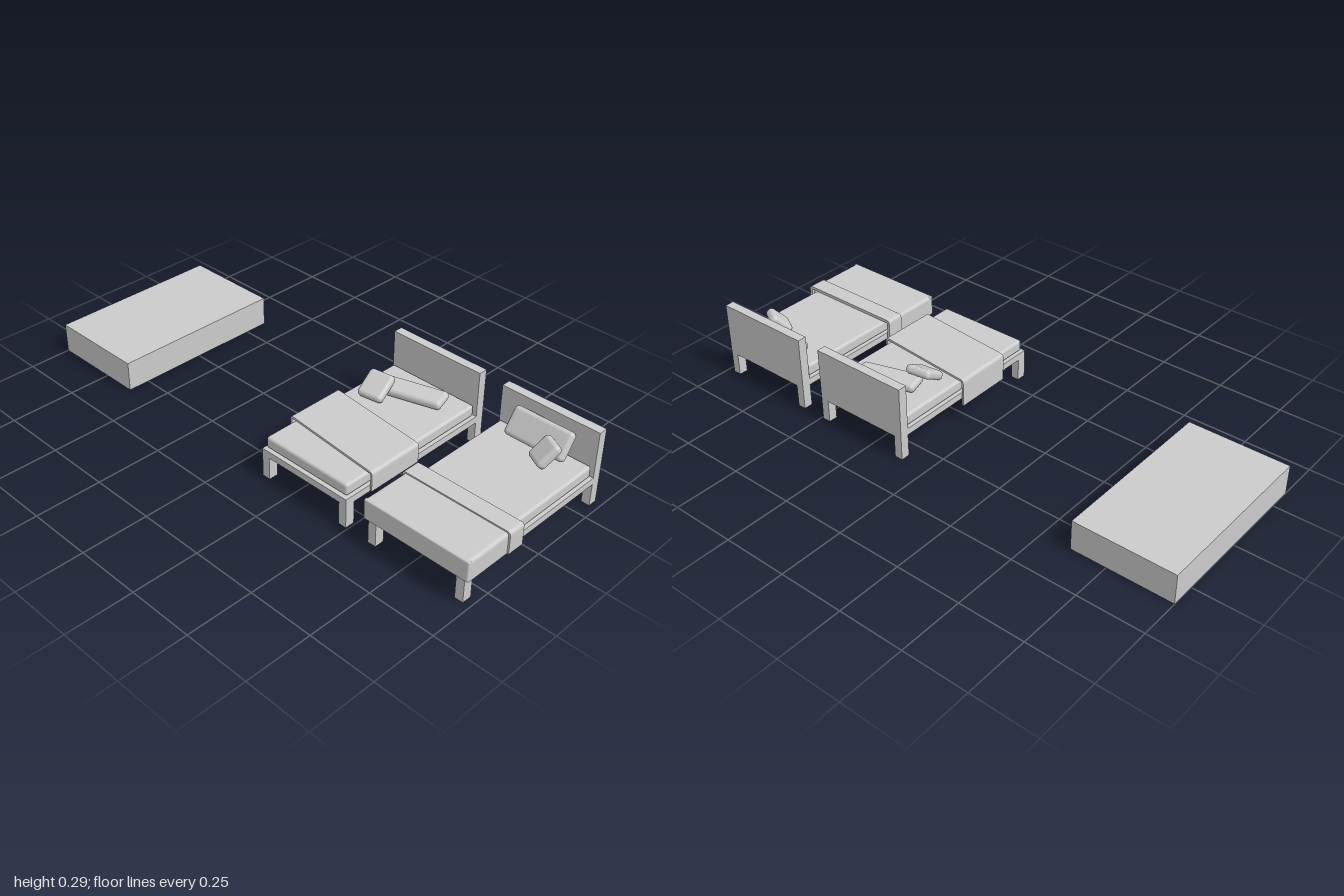
import * as THREE from 'three';
import { RoundedBoxGeometry } from 'three/addons/geometries/RoundedBoxGeometry.js';

const material = new THREE.MeshStandardMaterial({ color: 0xcccccc });

function add(parent, name, geometry, x = 0, y = 0, z = 0) {
  const mesh = new THREE.Mesh(geometry, material);
  mesh.name = name;
  mesh.position.set(x, y, z);
  parent.add(mesh);
  return mesh;
}

// Box given by its lower and upper bounds on each axis
function block(parent, name, [x0, x1], [y0, y1], [z0, z1], radius = 0) {
  const size = [x1 - x0, y1 - y0, z1 - z0];
  const geometry = radius ? new RoundedBoxGeometry(...size, 3, radius) : new THREE.BoxGeometry(...size);
  return add(parent, name, geometry, (x0 + x1) / 2, (y0 + y1) / 2, (z0 + z1) / 2);
}

// Cloth draped across the bed: a thin upside-down U swept along z, optionally skewed
function drape(parent, name, { half, top, left, right, z0, z1, skew = 0, thick = 0.008 }) {
  const r = 0.014, ri = r - thick, hi = half - thick, ti = top - thick;
  const s = new THREE.Shape();
  s.moveTo(-half, right);
  s.lineTo(-half, top - r);
  s.quadraticCurveTo(-half, top, -half + r, top);
  s.lineTo(half - r, top);
  s.quadraticCurveTo(half, top, half, top - r);
  s.lineTo(half, left);
  s.lineTo(hi, left);
  s.lineTo(hi, ti - ri);
  s.quadraticCurveTo(hi, ti, hi - ri, ti);
  s.lineTo(-hi + ri, ti);
  s.quadraticCurveTo(-hi, ti, -hi, ti - ri);
  s.lineTo(-hi, right);
  s.closePath();
  const geometry = new THREE.ExtrudeGeometry(s, { depth: z1 - z0, bevelEnabled: false, curveSegments: 5 });
  const p = geometry.attributes.position;
  for (let i = 0; i < p.count; i++) p.setZ(i, p.getZ(i) + z0 + skew * p.getX(i));
  geometry.computeVertexNormals();
  return add(parent, name, geometry);
}

function pillow(parent, name, size, position, tilt, yaw) {
  const mesh = add(parent, name, new RoundedBoxGeometry(...size, 4, 0.015), ...position);
  mesh.rotation.set(tilt, yaw, 0, 'YXZ');
}

// Bed frame, headboard, legs and mattress, centred on its own x = 0
function makeBed(name, x) {
  const bed = new THREE.Group();
  bed.name = name;
  bed.position.x = x;
  const w = 0.1925;
  block(bed, 'frame', [-w, w], [0.087, 0.113], [-0.308, 0.335]);
  block(bed, 'headboard', [-w, w], [0.087, 0.29], [-0.343, -0.308]);
  for (const s of [-1, 1]) {
    const legX = s < 0 ? [-w, -w + 0.032] : [w - 0.032, w];
    block(bed, 'frontLeg', legX, [0, 0.087], [0.298, 0.335]);
    block(bed, 'backLeg', legX, [0, 0.087], [-0.343, -0.308]);
  }
  block(bed, 'mattress', [-0.184, 0.184], [0.115, 0.16], [-0.302, 0.325], 0.01);
  return bed;
}

export function createModel() {
  const model = new THREE.Group();
  model.name = 'bedroomSet';

  // Plain low block standing apart from the beds
  block(model, 'plainBlock', [-1, -0.613], [0, 0.115], [-0.343, 0.335]);

  // Bed with a skewed throw and pillows lying down
  const throwBed = makeBed('throwBed', 0.2995);
  drape(throwBed, 'throwBlanket', {
    half: 0.205, top: 0.17, left: 0.095, right: 0.063, z0: -0.012, z1: 0.212, skew: 0.093,
  });
  pillow(throwBed, 'largePillow', [0.235, 0.034, 0.09], [0.005, 0.18, -0.19], 0, 0.29);
  pillow(throwBed, 'smallPillow', [0.1, 0.034, 0.108], [-0.092, 0.2, -0.108], 0.54, 0.14);
  model.add(throwBed);

  // Bed with a tucked blanket, folded top edge and pillows propped up
  const blanketBed = makeBed('blanketBed', 0.7805);
  drape(blanketBed, 'blanket', { half: 0.208, top: 0.17, left: 0.092, right: 0.092, z0: 0.1, z1: 0.337 });
  block(blanketBed, 'blanketFront', [-0.208, 0.208], [0.092, 0.17], [0.329, 0.343], 0.005);
  drape(blanketBed, 'blanketFold', {
    half: 0.2145, top: 0.175, left: 0.092, right: 0.092, z0: 0.09, z1: 0.157, thick: 0.012,
  });
  pillow(blanketBed, 'largePillow', [0.235, 0.034, 0.105], [0, 0.213, -0.265], 0.95, 0);
  pillow(blanketBed, 'smallPillow', [0.085, 0.036, 0.095], [0.068, 0.207, -0.203], 0.8, -0.5);
  model.add(blanketBed);

  return model;
}
